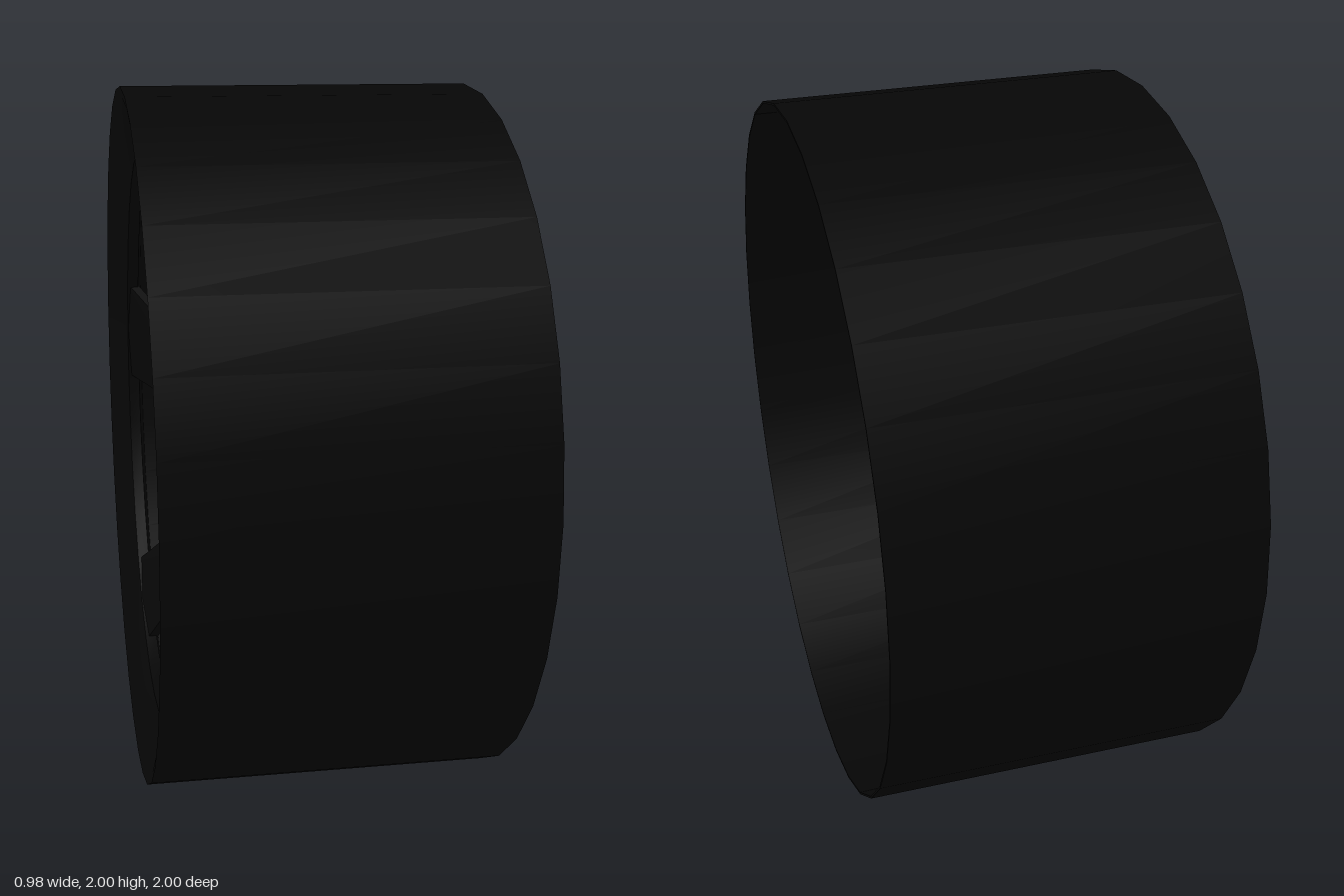
import * as THREE from 'three';
import { toCreasedNormals } from 'three/addons/utils/BufferGeometryUtils.js';

const SIDES = 32;
const STEP = (Math.PI * 2) / SIDES;

const black = new THREE.MeshStandardMaterial({ color: 0x060606 });
black.name = 'black';
const grey = new THREE.MeshStandardMaterial({ color: 0x7c7c7c });
grey.name = 'grey';

// Closed ring turned around the x axis from [x, radius] points
function ring(name, profile, material) {
  const points = [...profile, profile[0]].map(([x, r]) => new THREE.Vector2(r, x));
  const turned = new THREE.LatheGeometry(points, SIDES).rotateZ(-Math.PI / 2);
  const mesh = new THREE.Mesh(toCreasedNormals(turned, 0.5), material);
  mesh.name = name;
  return mesh;
}

// Spoke from the hub to the rim; both ends are two rim segments wide
function spoke(outerStart, innerStart) {
  const geometry = new THREE.BoxGeometry(1, 1, 1);
  const p = geometry.attributes.position;
  for (let i = 0; i < p.count; i++) {
    const outer = p.getY(i) > 0;
    const start = outer ? outerStart : innerStart;
    const angle = (start + (p.getZ(i) > 0 ? 0 : 2)) * STEP;
    const radius = outer ? 0.85 : 0.42;
    const x = (outer ? -0.425 : -0.195) + p.getX(i) * 0.03;
    p.setXYZ(i, x, radius * Math.sin(angle), radius * Math.cos(angle));
  }
  const flat = geometry.toNonIndexed();
  flat.computeVertexNormals();
  const mesh = new THREE.Mesh(flat, black);
  mesh.name = 'spoke';
  return mesh;
}

export function createModel() {
  const wheel = new THREE.Group();
  wheel.name = 'wheel';

  // Deep thin barrel closed on one side by a shallow dished sidewall
  wheel.add(ring('rim', [
    [-0.49, 1], [0.49, 1], [0.49, 0.994],
    [-0.38, 0.985], [-0.4, 0.82], [-0.435, 0.82], [-0.485, 0.97],
  ], black));

  // Hub collar
  wheel.add(ring('hubCollar', [
    [-0.21, 0.44], [-0.18, 0.44], [-0.18, 0.36], [-0.21, 0.36],
  ], black));

  // Thin hub cap closing the collar
  const cap = new THREE.Mesh(
    new THREE.CylinderGeometry(0.375, 0.375, 0.036, SIDES).rotateZ(-Math.PI / 2), grey);
  cap.name = 'hubCap';
  cap.position.x = -0.195;
  wheel.add(cap);

  // Five spokes: [first outer segment, first inner segment]
  const spokes = [[7, 8], [0, 1], [-7, -7], [-12, -12], [14, 15]];
  for (const [outer, inner] of spokes) wheel.add(spoke(outer, inner));

  wheel.position.y = 1;
  const model = new THREE.Group();
  model.add(wheel);
  return model;
}
